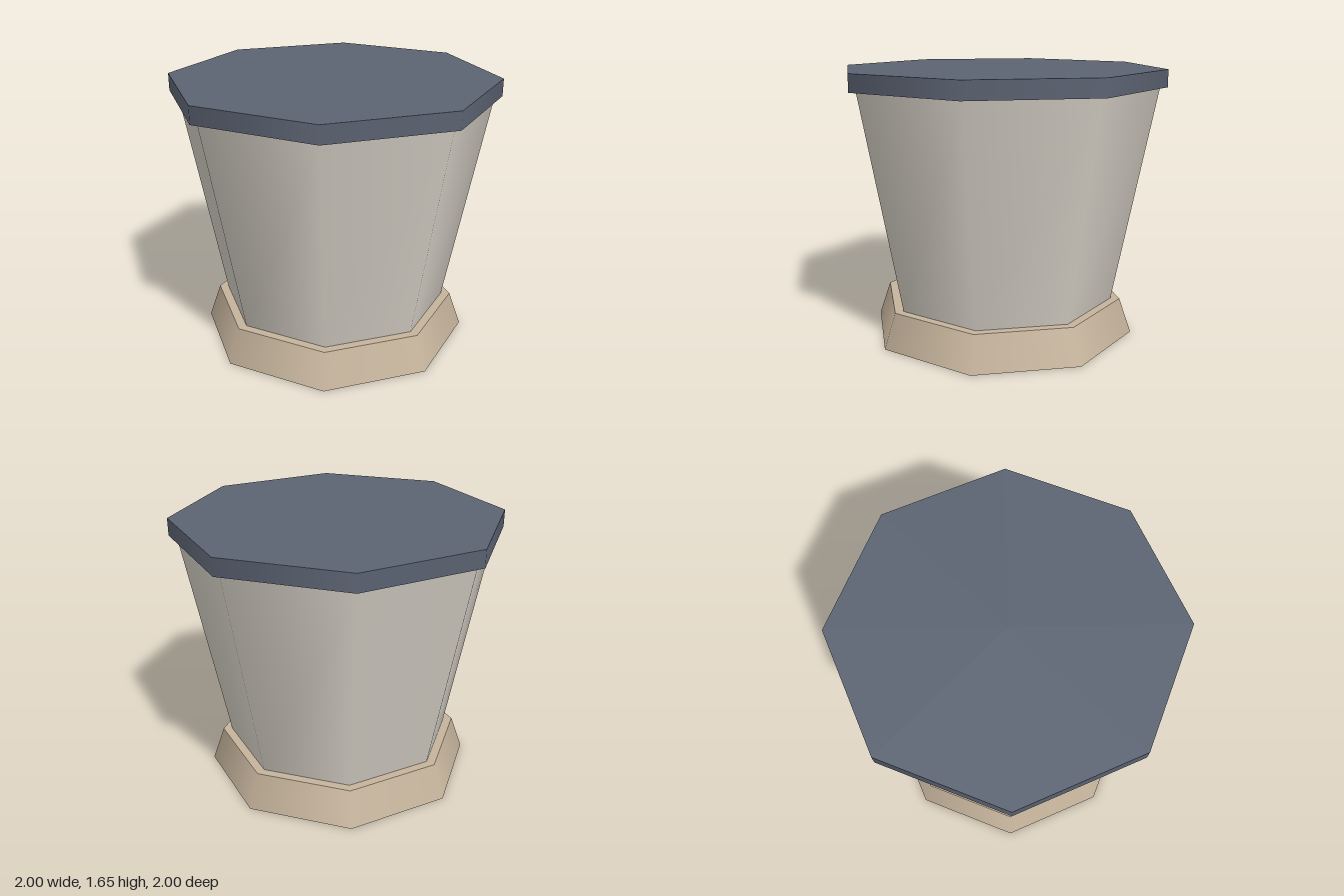
import * as THREE from 'three';

const paint = (name, color) => {
  const m = new THREE.MeshStandardMaterial({ color });
  m.name = name;
  return m;
};

export function createModel() {
  const group = new THREE.Group();
  group.name = 'pot';

  // Eight-sided tapered section with smooth sides, from y0 up to y1
  const section = (name, material, rTop, rBottom, y0, y1) => {
    const mesh = new THREE.Mesh(
      new THREE.CylinderGeometry(rTop, rBottom, y1 - y0, 8), material);
    mesh.name = name;
    mesh.position.y = (y0 + y1) / 2;
    group.add(mesh);
  };

  // Flared foot, widening body and flat lid
  section('base', paint('tan', 0xc6b49c), 0.76, 0.835, 0, 0.215);
  section('body', paint('warmGrey', 0xd6d0c6), 0.957, 0.703, 0.21, 1.55);
  section('lid', paint('slate', 0x5b6372), 1, 1, 1.545, 1.65);

  return group;
}
